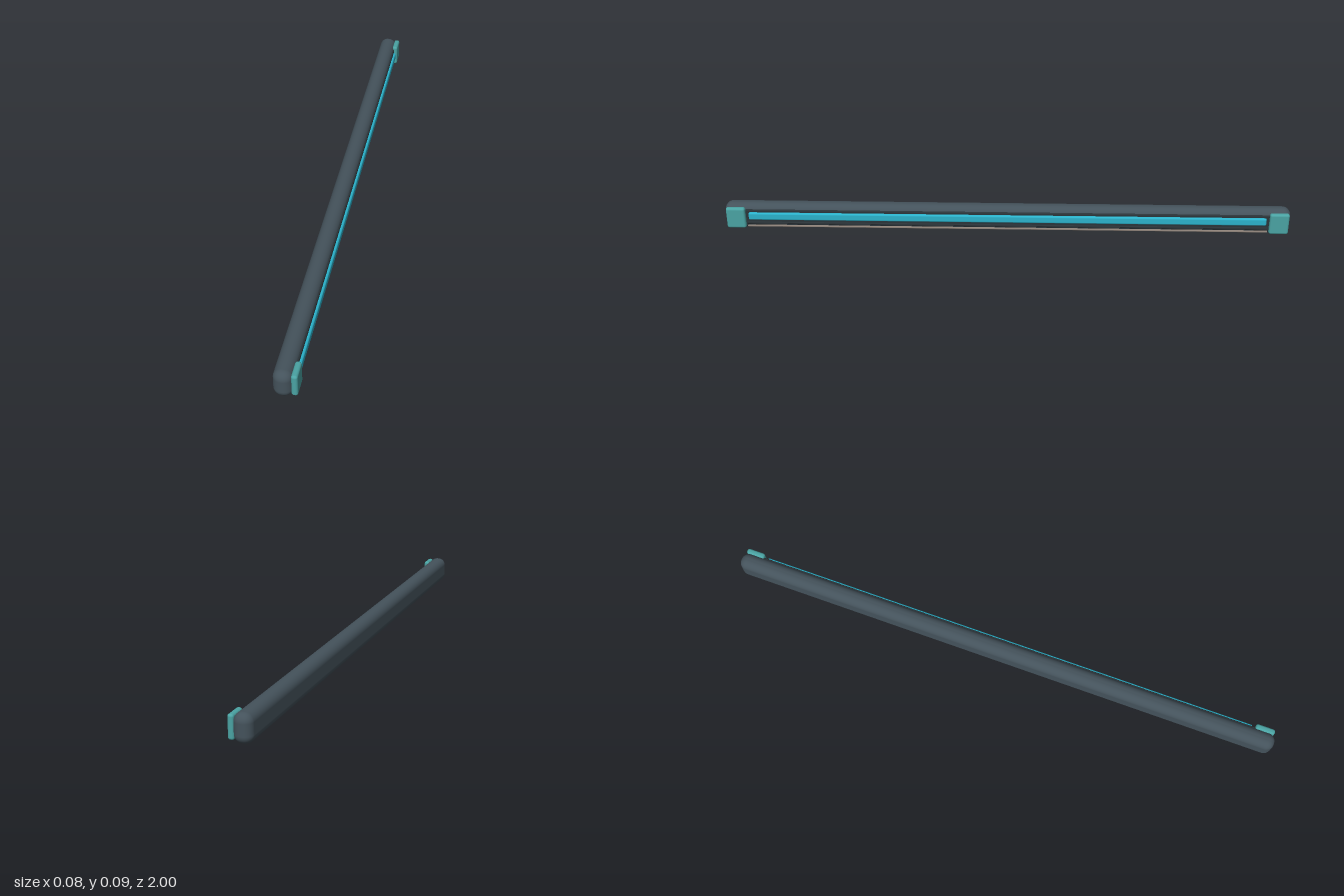
import * as THREE from 'three';
import { RoundedBoxGeometry } from 'three/addons/geometries/RoundedBoxGeometry.js';

export function createModel() {
  const group = new THREE.Group();
  const mat = (color) => new THREE.MeshStandardMaterial({ color });
  const shell = mat(0x44525b), dark = mat(0x2b3439), teal = mat(0x4aa3a3);
  const cyan = mat(0x2bb3cc), tan = mat(0x8d8178);

  // Rounded bar given by its min and max corners
  function bar(name, material, [x0, y0, z0], [x1, y1, z1], radius, segments = 4) {
    const geometry = new RoundedBoxGeometry(x1 - x0, y1 - y0, z1 - z0, segments, radius);
    const mesh = new THREE.Mesh(geometry, material);
    mesh.name = name;
    mesh.position.set((x0 + x1) / 2, (y0 + y1) / 2, (z0 + z1) / 2);
    group.add(mesh);
  }

  // Long soft-edged housing
  bar('housing', shell, [-0.038, 0, -1], [0.023, 0.094, 1], 0.028, 8);

  // Dark backing panel and the strips that run along it
  bar('backingPanel', dark, [0.012, 0.018, -0.925], [0.026, 0.077, 0.925], 0.004);
  bar('lightStrip', cyan, [0.018, 0.04, -0.913], [0.034, 0.068, 0.913], 0.006);
  bar('lowerRail', dark, [0.018, 0.024, -0.92], [0.029, 0.031, 0.92], 0.002);
  bar('bottomTrim', tan, [0.012, 0.01, -0.92], [0.026, 0.016, 0.92], 0.002);

  // Mirrored end clips
  for (const s of [-1, 1]) {
    const c = 0.957 * s;
    bar(s > 0 ? 'frontClip' : 'backClip', teal, [0.018, 0.009, c - 0.034], [0.038, 0.087, c + 0.034], 0.008);
  }
  return group;
}
